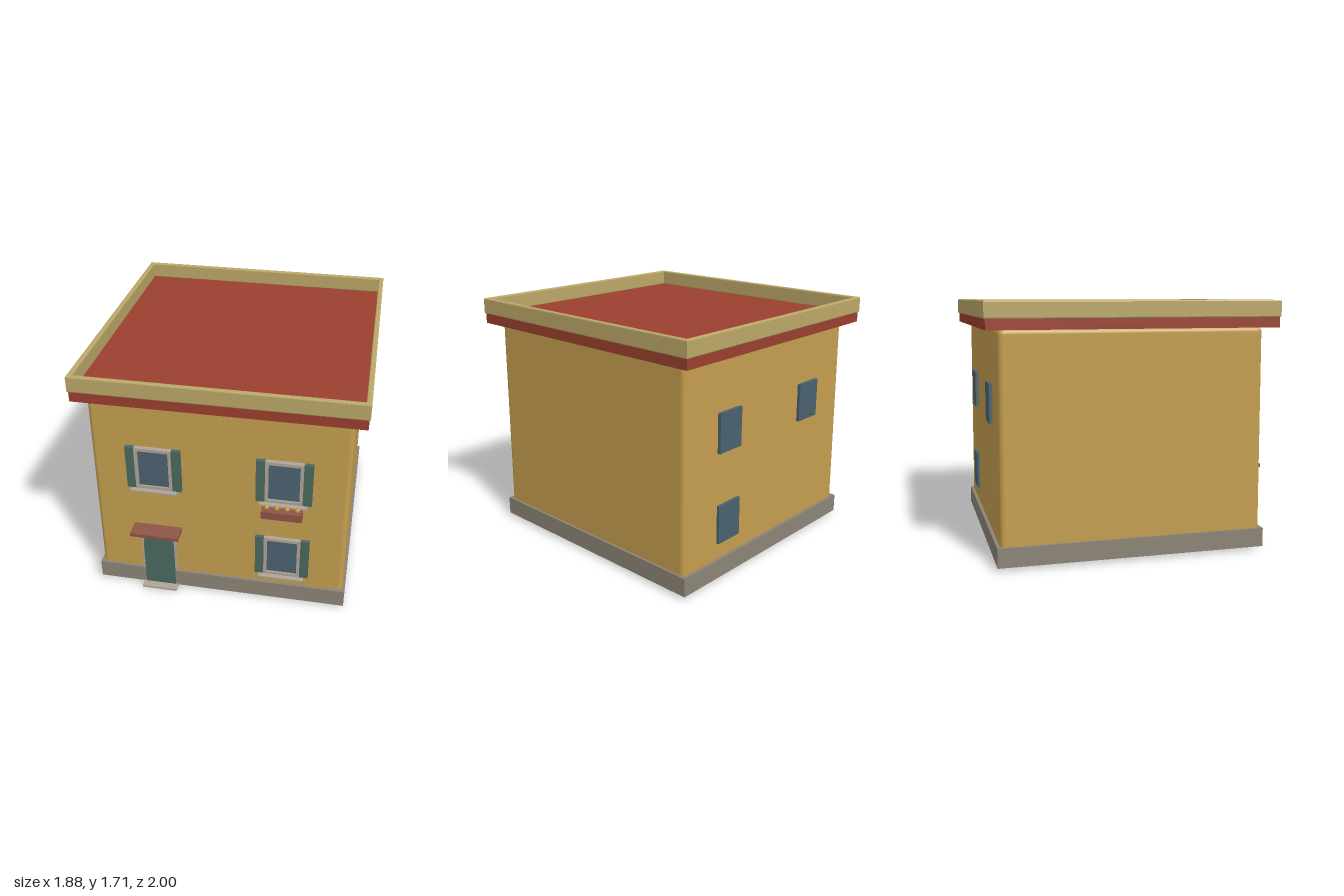
import * as THREE from 'three';
import { RoundedBoxGeometry } from 'three/addons/geometries/RoundedBoxGeometry.js';

const mat = (color) => new THREE.MeshStandardMaterial({ color });
const M = {
  wall: mat(0xc49e4e), parapet: mat(0xbba768), roof: mat(0x9a3f2e), plinth: mat(0x8c8476),
  teal: mat(0x49695f), glass: mat(0x4a6270), trim: mat(0xb0a598), box: mat(0x8e5546), flower: mat(0xc29a3c),
};

function add(parent, name, geometry, material) {
  const mesh = new THREE.Mesh(geometry, material);
  mesh.name = name;
  parent.add(mesh);
  return mesh;
}

// Box given by its limits on each axis
function block(parent, name, material, [x0, x1], [y0, y1], [z0, z1]) {
  const mesh = add(parent, name, new THREE.BoxGeometry(x1 - x0, y1 - y0, z1 - z0), material);
  mesh.position.set((x0 + x1) / 2, (y0 + y1) / 2, (z0 + z1) / 2);
  return mesh;
}

// Rectangle outline centred on (0, cy)
function rect(Type, w, h, cy = 0) {
  const p = new Type();
  p.moveTo(-w / 2, cy - h / 2);
  p.lineTo(w / 2, cy - h / 2);
  p.lineTo(w / 2, cy + h / 2);
  p.lineTo(-w / 2, cy + h / 2);
  p.closePath();
  return p;
}

// Round-headed door outline
function arch(Type, r, bottom, spring) {
  const p = new Type();
  p.moveTo(-r, bottom);
  p.lineTo(r, bottom);
  p.lineTo(r, spring);
  p.absarc(0, spring, r, 0, Math.PI, false);
  p.closePath();
  return p;
}

const extrude = (shape, depth) =>
  new THREE.ExtrudeGeometry(shape, { depth, bevelEnabled: false, curveSegments: 16 });

// Front window with frame, pane, two shutters and a sill
function frontWindow(x, y) {
  const g = new THREE.Group();
  g.name = 'frontWindow';
  const frame = rect(THREE.Shape, 0.25, 0.32);
  frame.holes.push(rect(THREE.Path, 0.206, 0.276));
  add(g, 'windowFrame', extrude(frame, 0.035), M.trim).position.z = 0.87;
  block(g, 'windowPane', M.glass, [-0.104, 0.104], [-0.139, 0.139], [0.865, 0.893]);
  for (const s of [-1, 1]) {
    block(g, 'shutter', M.teal, [-0.03, 0.03], [-0.16, 0.16], [0.868, 0.903]).position.x = s * 0.155;
  }
  block(g, 'windowSill', M.trim, [-0.157, 0.157], [-0.173, -0.16], [0.87, 0.935]);
  g.position.set(x, y, 0);
  return g;
}

export function createModel() {
  const house = new THREE.Group();
  house.name = 'house';

  // Walls: soft-edged block, slightly narrower towards the top
  const wallGeo = new RoundedBoxGeometry(1.72, 1.5, 1.782, 4, 0.035);
  const p = wallGeo.attributes.position;
  for (let i = 0; i < p.count; i++) {
    const k = 1 - 0.005 * (p.getY(i) / 0.75);
    p.setX(i, p.getX(i) * k);
    p.setZ(i, p.getZ(i) * k);
  }
  add(house, 'walls', wallGeo, M.wall).position.set(0, 0.785, -0.015);

  // Plinth, cornice and roof deck
  block(house, 'plinth', M.plinth, [-0.88, 0.88], [0.02, 0.15], [-0.933, 0.9]);
  block(house, 'cornice', M.roof, [-0.933, 0.933], [1.53, 1.602], [-0.987, 0.953]);

  // Parapet: hollow ring with softened edges
  const bevel = 0.008;
  const ring = rect(THREE.Shape, 1.88 - 2 * bevel, 1.955 - 2 * bevel);
  ring.holes.push(rect(THREE.Path, 1.81 + 2 * bevel, 1.885 + 2 * bevel));
  const ringGeo = new THREE.ExtrudeGeometry(ring, {
    depth: 0.112 - 2 * bevel, bevelThickness: bevel, bevelSize: bevel, bevelSegments: 2,
  });
  ringGeo.rotateX(-Math.PI / 2);
  add(house, 'parapet', ringGeo, M.parapet).position.set(0, 1.598 + bevel, -0.0175);

  // Front windows
  for (const [x, y] of [[-0.435, 1.028], [0.435, 1.028], [0.435, 0.4]]) house.add(frontWindow(x, y));

  // Back windows: plain panes
  for (const [x, y] of [[-0.435, 1.03], [0.435, 1.03], [0.435, 0.398]]) {
    block(house, 'backWindow', M.glass, [x - 0.107, x + 0.107], [y - 0.135, y + 0.135], [-0.927, -0.9]);
  }

  // Flower box under the upper window
  const planter = new THREE.Group();
  planter.name = 'flowerBox';
  block(planter, 'planter', M.box, [0.297, 0.567], [0.785, 0.842], [0.915, 0.978]);
  for (let i = 0; i < 4; i++) {
    add(planter, 'flower', new THREE.SphereGeometry(0.018, 8, 6), M.flower)
      .position.set(0.33 + i * 0.0675, 0.86, 0.947);
  }
  house.add(planter);

  // Arched door, surround, step and canopy
  const door = new THREE.Group();
  door.name = 'entrance';
  const surround = arch(THREE.Shape, 0.122, 0, 0.38);
  surround.holes.push(arch(THREE.Path, 0.106, 0.02, 0.38));
  add(door, 'doorSurround', extrude(surround, 0.03), M.trim).position.z = 0.866;
  add(door, 'door', extrude(arch(THREE.Shape, 0.108, 0.02, 0.382), 0.04), M.teal).position.z = 0.866;
  block(door, 'doorStep', M.trim, [-0.125, 0.125], [0.012, 0.027], [0.885, 0.96]);
  block(door, 'doorCanopy', M.box, [-0.168, 0.168], [0.515, 0.54], [0.868, 1.0]);
  door.position.x = -0.434;
  house.add(door);

  return house;
}
